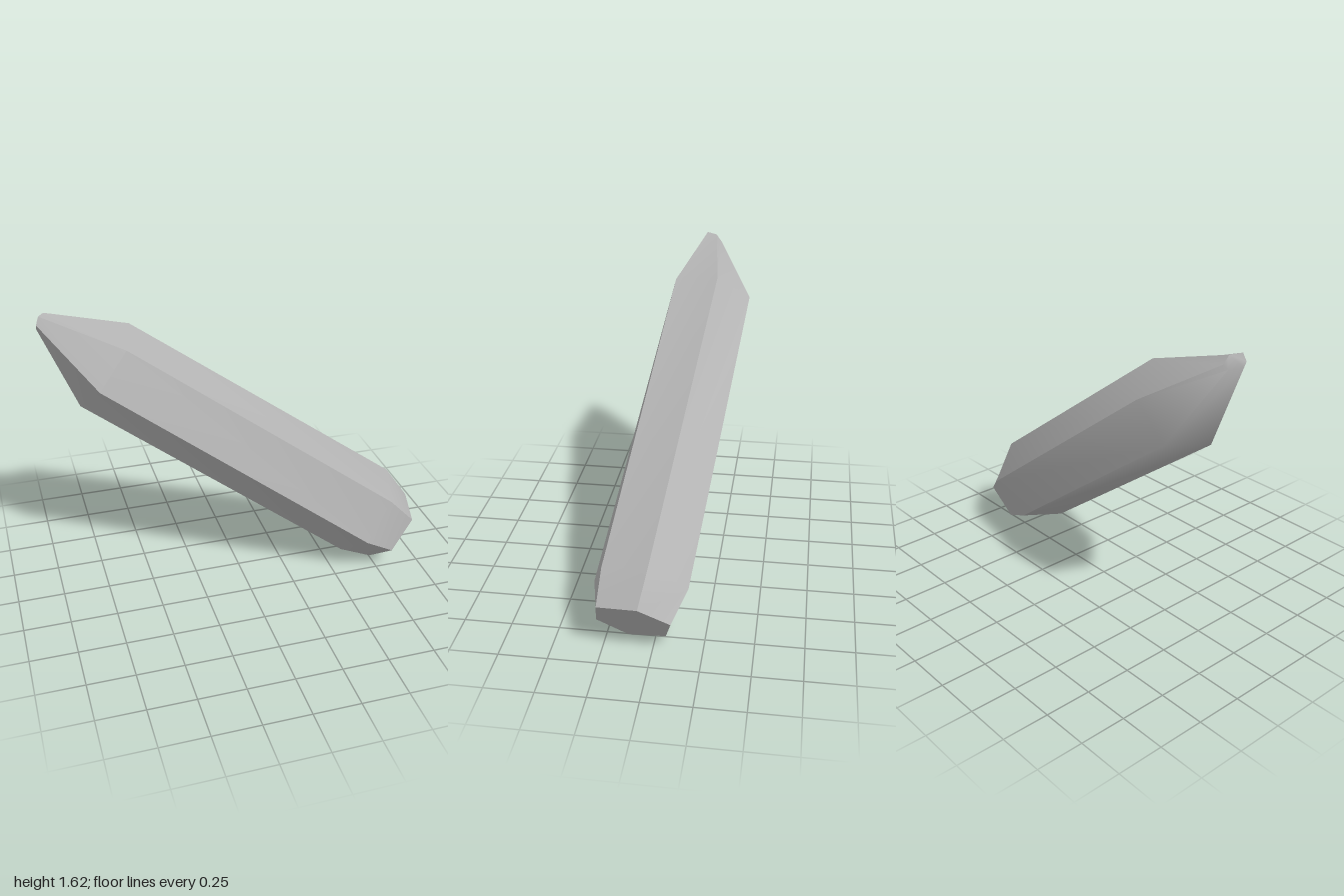
import * as THREE from 'three';
import { toCreasedNormals } from 'three/addons/utils/BufferGeometryUtils.js';

// Six-sided cross-sections, from the blunt end to the point
const rings = [
  // blunt end face
  [[0.995, 0.325, 0.05], [0.945, 0.29, 0.26], [0.82, 0.125, 0.29],
    [0.755, 0.0, 0.14], [0.81, 0.05, -0.06], [0.93, 0.21, -0.1]],
  // lower shoulder
  [[0.88, 0.49, 0.015], [0.81, 0.43, 0.255], [0.65, 0.235, 0.33],
    [0.57, 0.085, 0.145], [0.63, 0.135, -0.095], [0.79, 0.33, -0.17]],
  // upper shoulder
  [[-0.53, 1.49, -0.16], [-0.59, 1.45, 0.08], [-0.74, 1.26, 0.12],
    [-0.82, 1.115, -0.05], [-0.76, 1.165, -0.295], [-0.61, 1.355, -0.335]],
  // small slanted tip face
  [[-0.955, 1.615, -0.11], [-0.985, 1.62, -0.055], [-1.0, 1.58, -0.045],
    [-1.0, 1.555, -0.06], [-0.965, 1.55, -0.125], [-0.95, 1.575, -0.14]],
];

// Skins the cross-sections and closes both ends
function loft(sections) {
  const n = sections[0].length;
  const index = [];
  for (let r = 0; r < sections.length - 1; r++) {
    for (let i = 0; i < n; i++) {
      const j = (i + 1) % n;
      const a = r * n + i, b = r * n + j, c = a + n, d = b + n;
      index.push(c, d, b, c, b, a);
    }
  }
  const last = (sections.length - 1) * n;
  for (let i = 1; i < n - 1; i++) {
    index.push(0, i, i + 1);
    index.push(last, last + i + 1, last + i);
  }
  const geometry = new THREE.BufferGeometry();
  geometry.setAttribute('position', new THREE.Float32BufferAttribute(sections.flat(2), 3));
  geometry.setIndex(index);
  return geometry;
}

export function createModel() {
  const group = new THREE.Group();
  group.name = 'crystal';

  const stone = new THREE.MeshStandardMaterial({ color: 0xb4b4b4 });
  stone.name = 'greyStone';

  // Sharp long edges, softened shoulders
  const shard = new THREE.Mesh(toCreasedNormals(loft(rings), 0.75), stone);
  shard.name = 'crystalShard';
  group.add(shard);

  return group;
}
